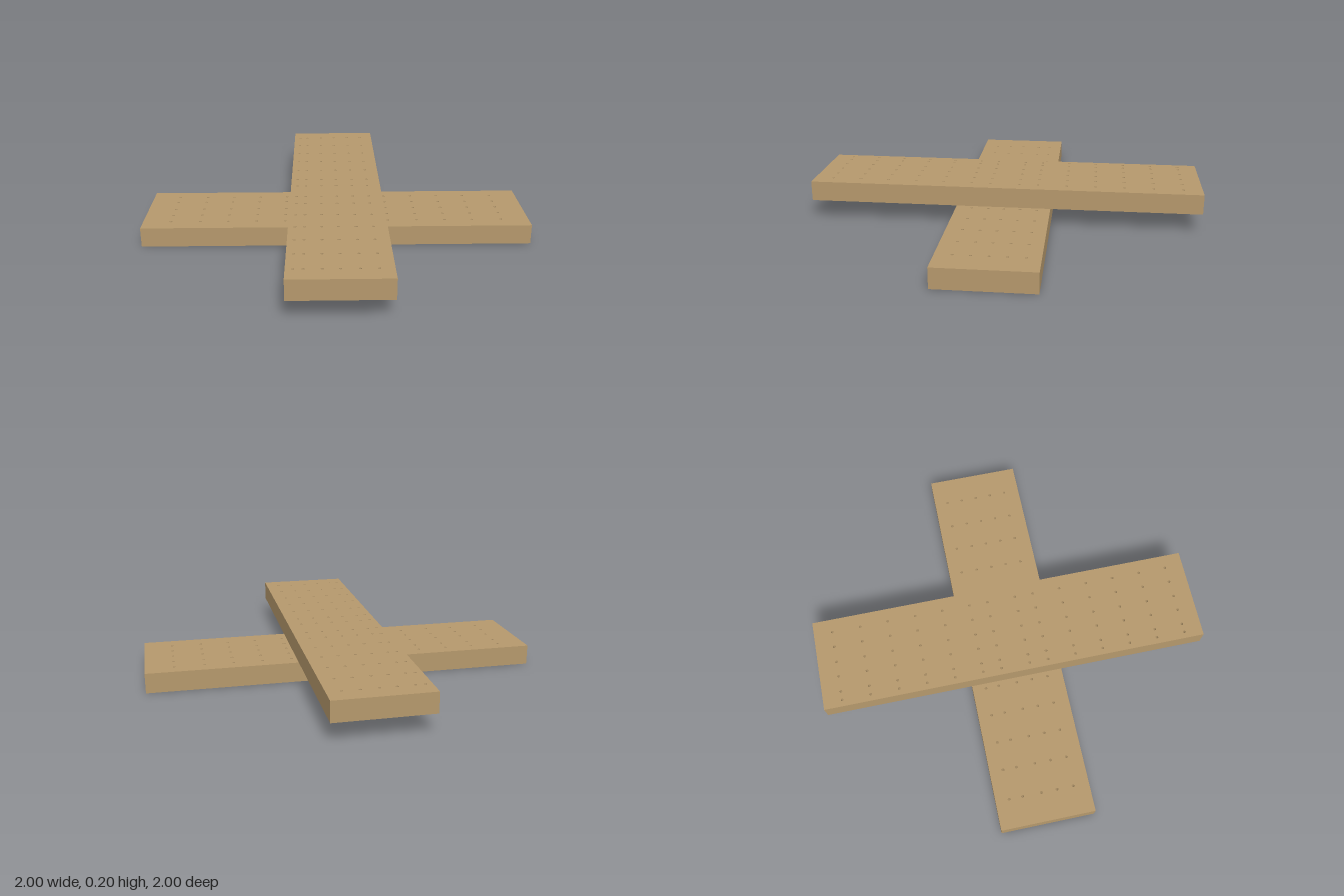
import * as THREE from 'three';

const THICK = 0.102, HALF_WIDTH = 0.24, HOLE_R = 0.007;
const material = new THREE.MeshStandardMaterial({ color: 0xb5986c });

// Flat board centred on the origin, drilled through at each [x, z]
function drilledPlank(name, halfX, halfZ, holes, bottom) {
  const shape = new THREE.Shape([
    new THREE.Vector2(-halfX, -halfZ), new THREE.Vector2(halfX, -halfZ),
    new THREE.Vector2(halfX, halfZ), new THREE.Vector2(-halfX, halfZ),
  ]);
  for (const [x, z] of holes) {
    shape.holes.push(new THREE.Path().absarc(x, -z, HOLE_R, 0, Math.PI * 2, true));
  }
  const geometry = new THREE.ExtrudeGeometry(shape, { depth: THICK, bevelEnabled: false, curveSegments: 12 });
  geometry.rotateX(-Math.PI / 2);
  const mesh = new THREE.Mesh(geometry, material);
  mesh.name = name;
  mesh.position.y = bottom;
  return mesh;
}

const grid = (xs, zs) => xs.flatMap((x) => zs.map((z) => [x, z]));

export function createModel() {
  const group = new THREE.Group();
  group.name = 'crossedPlanks';

  // Lower board runs left to right; one row sits slightly differently on each side
  const rowsZ = [-0.171, -0.006, 0.075, 0.158];
  const outer = [0.266, 0.414, 0.561, 0.705, 0.856];
  const lowerHoles = [
    ...grid(outer.map((x) => -x), [...rowsZ, -0.102]),
    ...grid([...outer, -0.118, 0, 0.118], [...rowsZ, -0.088]),
  ];
  group.add(drilledPlank('lowerPlank', 1, HALF_WIDTH, lowerHoles, 0));

  // Upper board runs front to back, with hole rows mirrored about its middle
  const colsX = [-0.206, -0.16, -0.078, 0.002, 0.087, 0.17];
  const halfZ = [0.075, 0.171, 0.317, 0.463, 0.609, 0.756, 0.903];
  const upperHoles = grid(colsX, [...halfZ, ...halfZ.map((z) => -z)]);
  group.add(drilledPlank('upperPlank', HALF_WIDTH, 1, upperHoles, THICK));

  return group;
}
